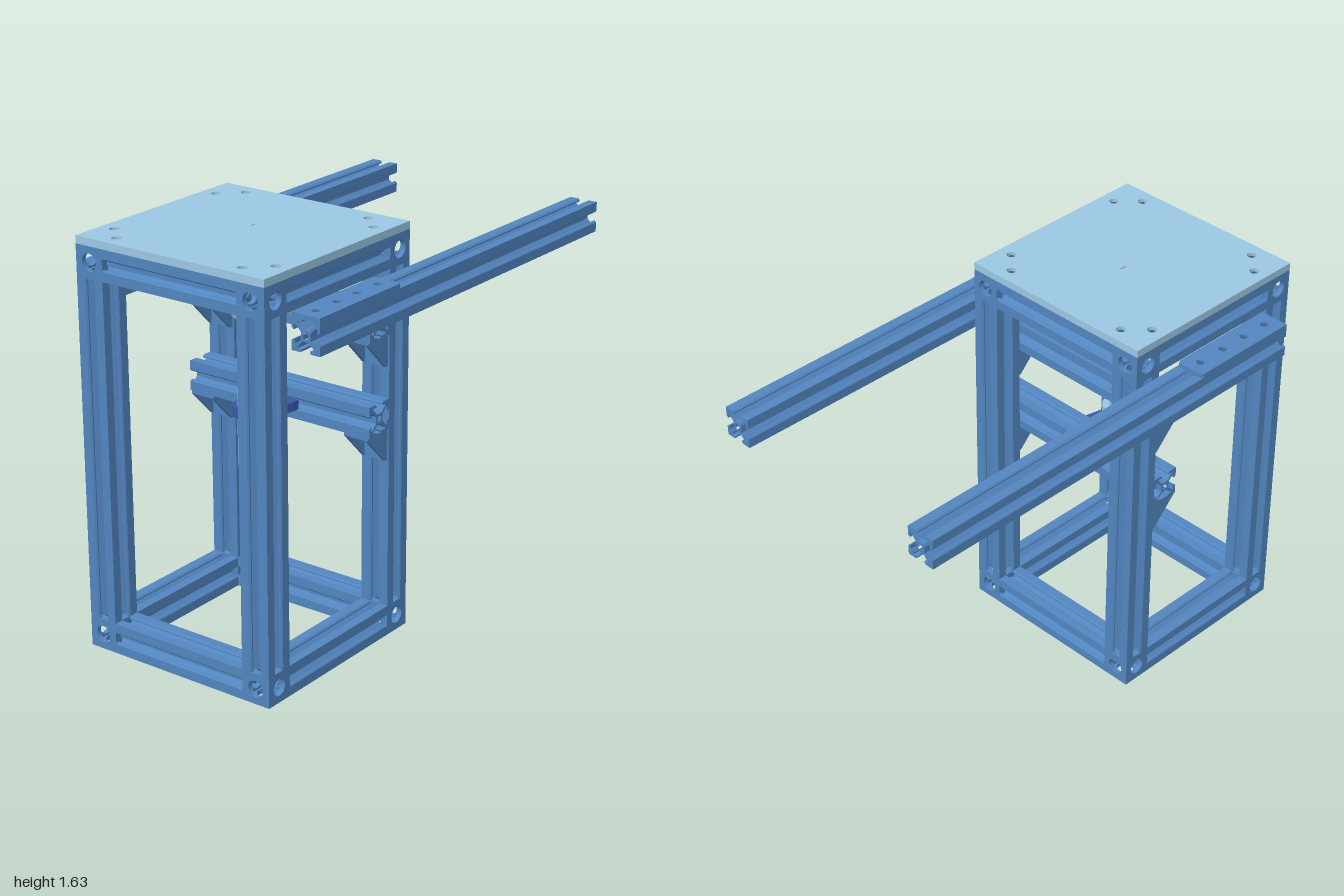
import * as THREE from 'three';

const mat = (color) => new THREE.MeshStandardMaterial({ color });
const blue = mat(0x5285bf), pale = mat(0x9bc7e2), navy = mat(0x3857ab), taupe = mat(0xa8a19c), dark = mat(0x3f5f80);

const S = 0.123, H = S / 2;      // profile width and half width
const TOP = 1.605;               // top of the frame
const CX = -0.57;                // frame centre in x
const PX = 0.43 - H;             // post offset from the frame centre
const AX = -0.52;                // actuator axis in x

function hole(shape, x, y, r) {
  const p = new THREE.Path();
  p.absarc(x, y, r, 0, Math.PI * 2, true);
  shape.holes.push(p);
}

function extrude(shape, depth, segs = 10) {
  const g = new THREE.ExtrudeGeometry(shape, { depth, bevelEnabled: false, curveSegments: segs });
  return g.translate(0, 0, -depth / 2);
}

function polygon(points) {
  return new THREE.Shape(points.map(([x, y]) => new THREE.Vector2(x, y)));
}

// T-slot cross-section: one side's slot turned four times round the core
function slotShape() {
  const half = [[0.024, H], [0.018, H - 0.006], [0.018, 0.05], [0.036, 0.05], [0.036, 0.043], [0.014, 0.021]];
  const side = [[-H, H], ...half.map(([x, y]) => [-x, y]), ...half.slice().reverse()];
  const pts = [];
  for (let k = 0; k < 4; k++) {
    const c = Math.round(Math.cos(k * Math.PI / 2)), s = Math.round(Math.sin(k * Math.PI / 2));
    side.forEach(([x, y]) => pts.push([x * c + y * s, -x * s + y * c]));
  }
  const shape = polygon(pts);
  hole(shape, 0, 0, 0.013);
  return shape;
}

export function createModel() {
  const root = new THREE.Group();
  const section = slotShape();

  const add = (name, geo, material, x = 0, y = 0, z = 0, parent = root) => {
    const m = new THREE.Mesh(geo, material);
    m.name = name;
    m.position.set(x, y, z);
    parent.add(m);
    return m;
  };
  const bar = (name, axis, length, x, y, z) => {
    const g = extrude(section, length);
    if (axis === 'x') g.rotateY(Math.PI / 2);
    if (axis === 'y') g.rotateX(Math.PI / 2);
    add(name, g, blue, x, y, z);
  };

  // Corner connectors: cubes bored through on all three axes
  const wall = polygon([[-H, -H], [H, -H], [H, H], [-H, H]]);
  hole(wall, 0, 0, 0.034);
  const wallGeo = extrude(wall, 0.02, 16);
  const corner = (x, y, z) => {
    const cube = new THREE.Group();
    cube.name = 'cornerConnector';
    cube.position.set(x, y, z);
    const d = H - 0.01;
    for (const s of [-1, 1]) {
      add('connectorWall', wallGeo, blue, 0, 0, s * d, cube);
      add('connectorWall', wallGeo, blue, s * d, 0, 0, cube).rotation.y = Math.PI / 2;
      add('connectorWall', wallGeo, blue, 0, s * d, 0, cube).rotation.x = Math.PI / 2;
    }
    root.add(cube);
  };

  // Frame
  const span = 2 * PX - S;
  for (const sx of [-1, 1]) {
    for (const sz of [-1, 1]) {
      bar('post', 'y', TOP - 2 * S, CX + sx * PX, TOP / 2, sz * PX);
      for (const y of [H, TOP - H]) corner(CX + sx * PX, y, sz * PX);
    }
  }
  for (const y of [H, TOP - H]) {
    for (const s of [-1, 1]) {
      bar('widthBeam', 'x', span, CX, y, s * PX);
      bar('depthBeam', 'z', span, CX + s * PX, y, 0);
    }
  }

  // Crossbars carrying the actuator, with corner gussets beneath
  const postX = CX + PX - H, barX = postX - H;
  const gusset = polygon([[-H, 0], [-H, -0.012], [0.049, -0.125], [H, -0.125], [H, 0]]);
  for (const y of [0.916, 1.291]) {
    bar('crossbar', 'z', 0.86, barX, y, 0);
    for (const s of [-1, 1]) {
      for (const t of [-1, 1]) add('gussetCheek', extrude(gusset, 0.014), blue, barX, y - H, s * PX + t * 0.048);
      add('gussetTopFlange', new THREE.BoxGeometry(S, 0.012, 0.1), blue, barX, y - H - 0.006, s * PX);
      add('gussetPostFlange', new THREE.BoxGeometry(0.012, 0.125, 0.1), blue, postX - 0.006, y - H - 0.0625, s * PX);
    }
  }

  // Side rails with screwed cover plates
  const cover = polygon([[-0.85, -H], [-0.375, -H], [-0.365, -H + 0.01], [-0.365, H - 0.01], [-0.375, H], [-0.85, H]]);
  const screwX = [-0.79, -0.67, -0.55, -0.425];
  screwX.forEach((x) => hole(cover, x, 0, 0.016));
  for (const s of [-1, 1]) {
    const z = s * (0.43 + H);
    bar('sideRail', 'x', 1.85, 0.075, 1.401, z);
    add('railCoverPlate', extrude(cover, 0.018).rotateX(-Math.PI / 2), blue, 0, 1.471, z);
    screwX.forEach((x) => add('coverScrew', new THREE.CylinderGeometry(0.012, 0.012, 0.012, 12), dark, x, 1.469, z));
  }

  // Top plate with corner screw holes and a centre slot
  const plate = polygon([[-0.43, -0.43], [0.43, -0.43], [0.43, 0.43], [-0.43, 0.43]]);
  for (const sx of [-1, 1]) {
    for (const sz of [-1, 1]) {
      for (const [a, b] of [[0.368, 0.288], [0.288, 0.37]]) {
        hole(plate, sx * a, sz * b, 0.019);
        add('plateScrew', new THREE.CylinderGeometry(0.013, 0.013, 0.02, 12), dark, CX + sx * a, TOP + 0.01, sz * b);
      }
    }
  }
  const slotX = AX - CX;
  plate.holes.push(new THREE.Path([[-1, -1], [-1, 1], [1, 1], [1, -1]].map(([a, b]) => new THREE.Vector2(slotX + a * 0.015, b * 0.003))));
  add('topPlate', extrude(plate, 0.03, 12).rotateX(-Math.PI / 2), pale, CX, TOP + 0.015, 0);

  // Linear actuator: motor housing, collar, tube and rod
  const lathe = (name, pts) => {
    // Repeat each profile point so that edges stay crisp
    const sharp = pts.flatMap(([r, y]) => [new THREE.Vector2(r, y), new THREE.Vector2(r, y)]);
    add(name, new THREE.LatheGeometry(sharp, 32), pale, AX, 0, 0);
  };
  lathe('motorHousing', [[0, 0.687], [0.068, 0.687], [0.068, 0.945], [0.061, 0.947], [0.061, 0.957], [0.068, 0.96],
    [0.068, 0.996], [0, 0.996]]);
  lathe('actuatorTube', [[0.04, 0.99], [0.04, 1.155], [0.045, 1.157], [0.045, 1.355], [0, 1.355]]);
  lathe('actuatorRod', [[0.028, 1.35], [0.028, TOP], [0, TOP]]);

  // Clamps joining the actuator to the crossbars
  const clamp = (name, bore, height, y, material) => {
    const c = new THREE.Shape();
    const reach = barX - H - AX;
    c.moveTo(reach, -0.1);
    c.lineTo(reach, 0.1);
    c.lineTo(reach - 0.03, 0.1);
    c.lineTo(0.021, 0.083);
    c.absarc(0, 0, 0.085, Math.PI * 0.42, Math.PI * 1.58, false);
    c.lineTo(reach - 0.03, -0.1);
    hole(c, 0, 0, bore);
    add(name, extrude(c, height, 20).rotateX(-Math.PI / 2), material, AX, y, 0);
  };
  clamp('lowerClamp', 0.067, 0.037, 0.916, navy);
  clamp('upperClamp', 0.044, 0.055, 1.32, taupe);

  return root;
}
